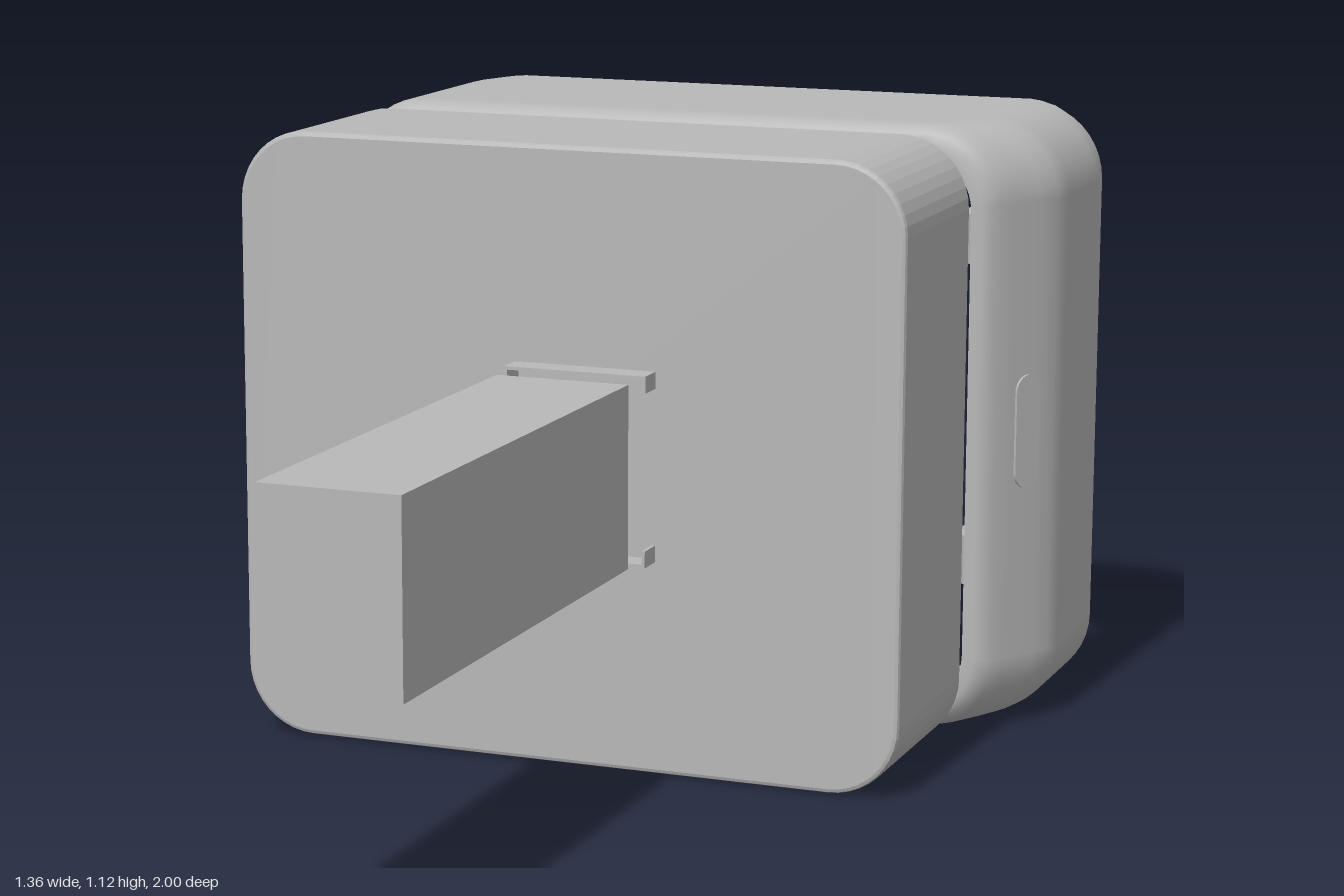
import * as THREE from 'three';

// Rounded rectangle outline as a list of points, counter-clockwise
function outline(x0, x1, y0, y1, r, steps = 10) {
  const corners = [[x1 - r, y1 - r], [x0 + r, y1 - r], [x0 + r, y0 + r], [x1 - r, y0 + r]];
  const pts = [];
  corners.forEach(([cx, cy], q) => {
    for (let i = 0; i <= steps; i++) {
      const a = (q + i / steps) * Math.PI / 2;
      pts.push(new THREE.Vector2(cx + r * Math.cos(a), cy + r * Math.sin(a)));
    }
  });
  return pts;
}

export function createModel() {
  const model = new THREE.Group();
  const grey = new THREE.MeshStandardMaterial({ color: 0xb8b8b8 });
  grey.name = 'grey';
  const shellGrey = grey;
  shellGrey.side = THREE.DoubleSide;

  const add = (name, geometry, x = 0, y = 0, z = 0) => {
    const mesh = new THREE.Mesh(geometry, grey);
    mesh.name = name;
    mesh.position.set(x, y, z);
    model.add(mesh);
    return mesh;
  };
  // Box given by its limits
  const box = (name, x0, x1, y0, y1, z0, z1) =>
    add(name, new THREE.BoxGeometry(x1 - x0, y1 - y0, z1 - z0), (x0 + x1) / 2, (y0 + y1) / 2, (z0 + z1) / 2);

  // Long bar at the front
  box('bar', -0.13, 0.115, 0.4, 0.725, 0.065, 1);

  // Small handle beside the bar
  box('sideHandle', -0.157, -0.143, 0.47, 0.655, 0.07, 0.22);
  for (const y of [0.47, 0.64]) box('handleFoot', -0.145, -0.13, y, y + 0.015, 0.18, 0.22);

  // Thin brackets on the block, with bent ends
  for (const [edge, dir] of [[0.73, -1], [0.39, 1]]) {
    const span = (a, b) => [Math.min(a, b), Math.max(a, b)];
    box('bracket', -0.14, 0.125, ...span(edge, edge + dir * 0.006), -0.04, 0.01);
    for (const x of [-0.14, 0.119])
      box('bracketEnd', x, x + 0.006, ...span(edge, edge + dir * 0.03), -0.04, 0.01);
  }

  // Solid rounded block with a fine edge bevel
  const b = 0.008;
  const blockShape = new THREE.Shape(outline(-0.675 + b, 0.575 - b, 0.004 + b, 1.116 - b, 0.12));
  add('frontBlock', new THREE.ExtrudeGeometry(blockShape, {
    depth: 0.375 - 2 * b, bevelEnabled: true, bevelSize: b, bevelThickness: b, bevelSegments: 2,
  }), 0, 0, -0.415 + b);

  // Open shell: cross-sections from back to front as [z, left x, right x, inset in y, corner radius]
  const sections = [
    [-0.97, -0.648, 0.668, 0, 0.14],
    [-0.94, -0.66, 0.68, 0, 0.14],
    [-0.88, -0.68, 0.68, 0, 0.14],
    [-0.69, -0.68, 0.68, 0, 0.14],
    [-0.65, -0.68, 0.671, 0, 0.14],
    [-0.61, -0.68, 0.652, 0, 0.14],
    [-0.55, -0.68, 0.618, 0, 0.14],
    [-0.525, -0.676, 0.602, 0.004, 0.135],
    [-0.508, -0.666, 0.588, 0.014, 0.128],
    [-0.5, -0.65, 0.572, 0.03, 0.115],
    [-0.5, -0.63, 0.552, 0.05, 0.1],
  ];
  const positions = [], index = [];
  let count = 0;
  sections.forEach(([z, x0, x1, inset, r], s) => {
    const ring = outline(x0, x1, inset, 1.12 - inset, r);
    count = ring.length;
    ring.forEach((p, i) => {
      // The back rim is cut lower along both sides
      const cut = s === 0 ? 0.035 * THREE.MathUtils.clamp((Math.abs(p.x) - 0.52) / 0.12, 0, 1) : 0;
      positions.push(p.x, p.y, z + (s === 1 && Math.abs(p.x) > 0.6 ? 0.012 : 0) + cut);
      if (s > 0) {
        const n = (i + 1) % count, a = (s - 1) * count, c = s * count;
        index.push(a + i, a + n, c + n, a + i, c + n, c + i);
      }
    });
  });
  const shell = new THREE.BufferGeometry();
  shell.setAttribute('position', new THREE.Float32BufferAttribute(positions, 3));
  shell.setIndex(index);
  shell.computeVertexNormals();
  add('rearShell', shell);

  // Slim oval button on the slanted side of the shell
  const oval = new THREE.Shape(outline(-0.03, 0.03, -0.105, 0.105, 0.03));
  const button = add('sideButton', new THREE.ExtrudeGeometry(oval, { depth: 0.006, bevelEnabled: false }), 0.638, 0.56, -0.588);
  button.rotation.y = 1.06;

  // Upright round pegs at the back: two large, four small
  const peg = (name, r, x, z, y0, y1) =>
    add(name, new THREE.CylinderGeometry(r, r, y1 - y0, 40), x, (y0 + y1) / 2, z);
  for (const [y0, y1] of [[0.07, 0.185], [0.93, 1.045]]) peg('largePeg', 0.15, -0.01, -0.85, y0, y1);
  for (const [y0, y1] of [[0.2, 0.295], [0.82, 0.915]]) {
    peg('smallPeg', 0.075, 0.5, -0.89, y0, y1);
    peg('smallPeg', 0.075, -0.605, -0.86, y0, y1);
  }
  return model;
}
